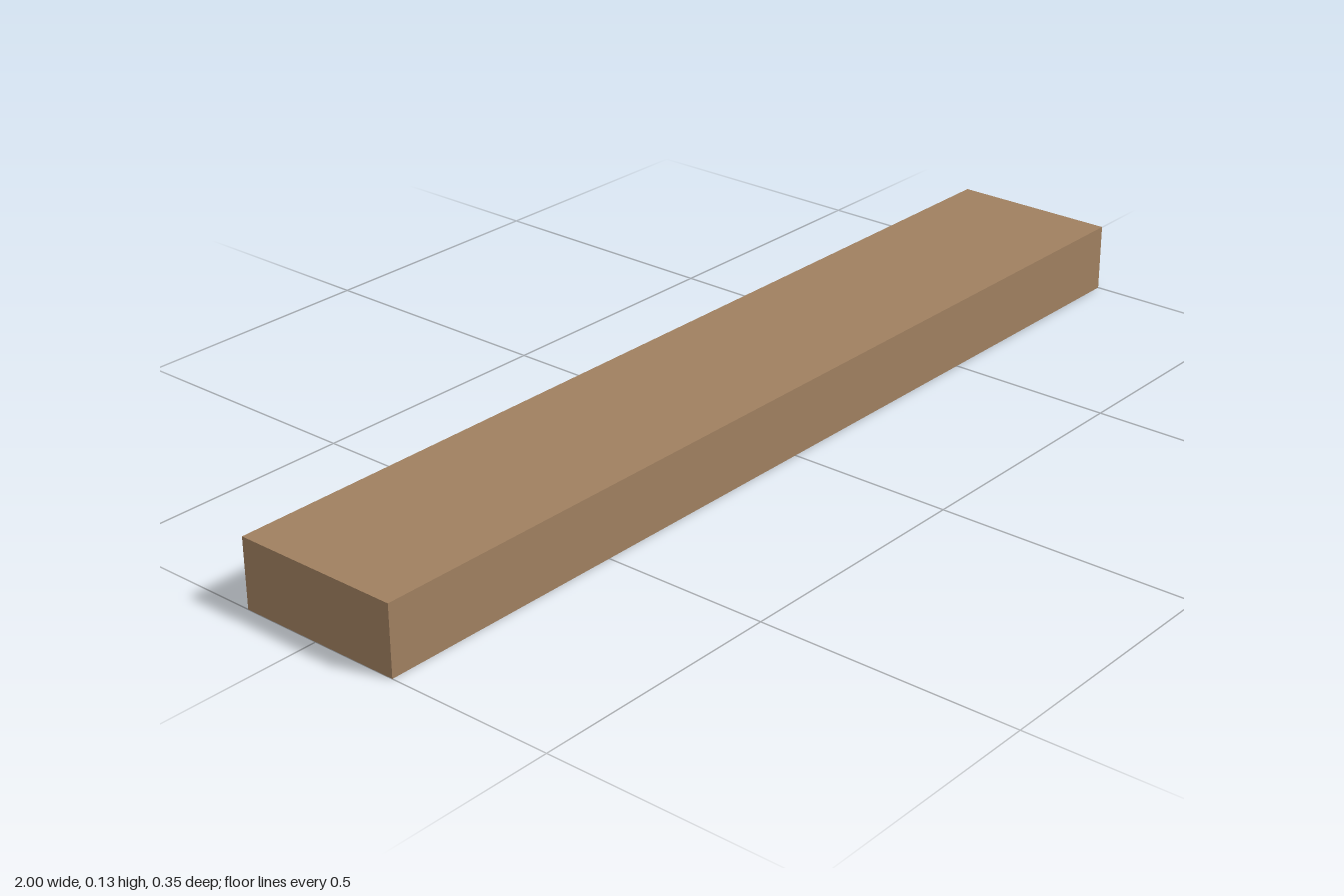
import * as THREE from 'three';

export function createModel() {
  const group = new THREE.Group();
  const wood = new THREE.MeshStandardMaterial({ color: 0xa08060 });
  wood.name = 'brown wood';

  function addBox(name, size, position) {
    const mesh = new THREE.Mesh(new THREE.BoxGeometry(...size), wood);
    mesh.name = name;
    mesh.position.set(...position);
    group.add(mesh);
  }

  // Long solid body
  const height = 0.134, frontZ = 0.174, backZ = -0.16;
  addBox('body', [2, height, frontZ - backZ], [0, height / 2, (frontZ + backZ) / 2]);

  // Row of four raised drawer panels along the back
  const depth = 0.014;
  for (let i = 0; i < 4; i++) {
    addBox(`drawerPanel${i + 1}`, [0.46, 0.094, depth], [-0.75 + i * 0.5, height / 2, backZ - depth / 2]);
  }
  return group;
}
